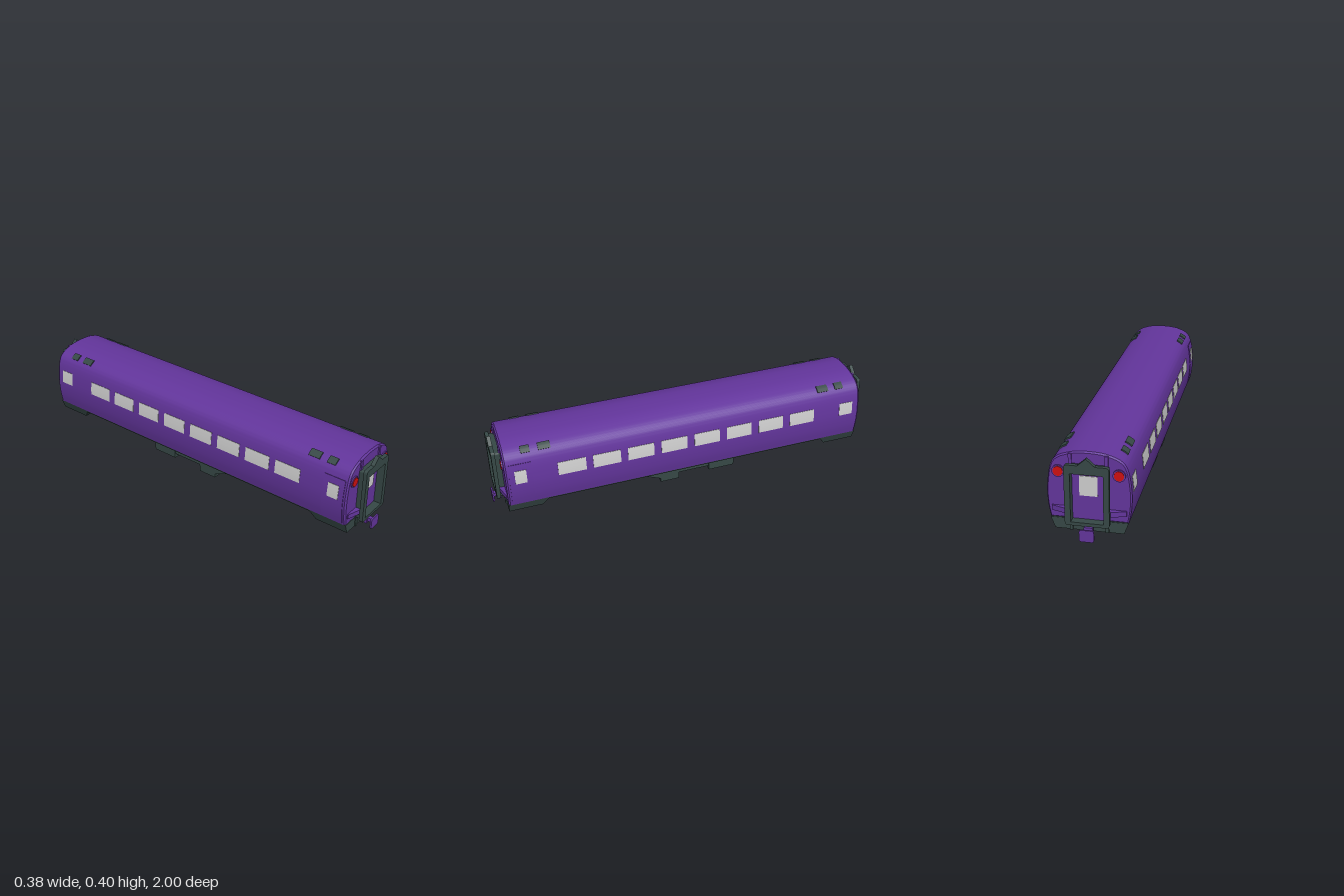
import * as THREE from 'three';
import { toCreasedNormals } from 'three/addons/utils/BufferGeometryUtils.js';

const material = (name, color) => {
  const m = new THREE.MeshStandardMaterial({ color });
  m.name = name;
  return m;
};

// Half of the body cross-section, from the floor up to the roof centre
const profile = new THREE.SplineCurve([
  [0.173, 0.08], [0.183, 0.135], [0.187, 0.195], [0.184, 0.25], [0.176, 0.305], [0.163, 0.345],
  [0.142, 0.369], [0.11, 0.385], [0.06, 0.398], [0, 0.402],
].map(([x, y]) => new THREE.Vector2(x, y))).getPoints(45);

// Half-width of the body at a given height
function sideX(y) {
  for (let i = 1; i < profile.length; i++) {
    const a = profile[i - 1], b = profile[i];
    if (y <= b.y) return a.x + (b.x - a.x) * (y - a.y) / (b.y - a.y);
  }
  return 0;
}

function roundRect(path, x0, y0, x1, y1, r) {
  path.moveTo(x0 + r, y0);
  path.lineTo(x1 - r, y0);
  path.quadraticCurveTo(x1, y0, x1, y0 + r);
  path.lineTo(x1, y1 - r);
  path.quadraticCurveTo(x1, y1, x1 - r, y1);
  path.lineTo(x0 + r, y1);
  path.quadraticCurveTo(x0, y1, x0, y1 - r);
  path.lineTo(x0, y0 + r);
  path.quadraticCurveTo(x0, y0, x0 + r, y0);
  return path;
}

const extrude = (shape, z0, z1) => new THREE.ExtrudeGeometry(shape,
  { depth: z1 - z0, bevelEnabled: false, curveSegments: 6 }).translate(0, 0, z0);

// Box whose top and bottom have their own width and z range
function taperedBox(top, bottom) {
  const geo = new THREE.BoxGeometry(1, 1, 1);
  const p = geo.attributes.position;
  for (let i = 0; i < p.count; i++) {
    const e = p.getY(i) > 0 ? top : bottom;
    p.setXYZ(i, Math.sign(p.getX(i)) * e.half, e.y, p.getZ(i) > 0 ? e.z1 : e.z0);
  }
  geo.computeVertexNormals();
  return geo;
}

// Thin plate that follows the curved side of the body
function sidePlate(y0, y1, z0, z1, out) {
  const inner = [], outer = [], steps = 8;
  for (let i = 0; i <= steps; i++) {
    const y = y0 + (y1 - y0) * i / steps;
    const d = 0.002;
    const slope = (sideX(y + d) - sideX(y - d)) / (2 * d);
    const n = new THREE.Vector2(1, -slope).normalize();
    const x = sideX(y);
    inner.unshift(new THREE.Vector2(x - n.x * 0.002, y - n.y * 0.002));
    outer.push(new THREE.Vector2(x + n.x * out, y + n.y * out));
  }
  return toCreasedNormals(extrude(new THREE.Shape([...outer, ...inner]), z0, z1), 0.5);
}

export function createModel() {
  const model = new THREE.Group();
  model.name = 'railwayCoach';
  const purple = material('purplePaint', 0x63359c);
  const grey = material('darkGreyGreen', 0x364846);
  const glass = material('paleGlass', 0xcfcfcf);
  const red = material('redLamp', 0xd01010);

  const add = (parent, name, geo, mat) => {
    const mesh = new THREE.Mesh(geo, mat);
    mesh.name = name;
    parent.add(mesh);
    return mesh;
  };
  const box = (parent, name, mat, x0, x1, y0, y1, z0, z1) => add(parent, name,
    new THREE.BoxGeometry(x1 - x0, y1 - y0, z1 - z0)
      .translate((x0 + x1) / 2, (y0 + y1) / 2, (z0 + z1) / 2), mat);

  // Body shell with softened end edges
  const left = profile.slice(0, -1).reverse().map(p => new THREE.Vector2(-p.x, p.y));
  const shell = new THREE.ExtrudeGeometry(new THREE.Shape([...profile, ...left]), {
    depth: 1.864, bevelThickness: 0.008, bevelSize: 0.006, bevelOffset: -0.006, bevelSegments: 1,
  }).translate(0, 0, -0.932);
  add(model, 'body', toCreasedNormals(shell, 0.4), purple);

  // Underframe
  add(model, 'floor', taperedBox(
    { half: 0.173, y: 0.082, z0: -0.938, z1: 0.938 },
    { half: 0.168, y: 0.07, z0: -0.938, z1: 0.938 }), grey);
  add(model, 'slopedTank', taperedBox(
    { half: 0.148, y: 0.071, z0: 0.055, z1: 0.27 },
    { half: 0.148, y: 0.022, z0: 0.055, z1: 0.155 }), grey);
  box(model, 'deepTank', grey, -0.148, 0.148, 0, 0.03, 0.055, 0.155);
  box(model, 'middleTray', grey, -0.148, 0.148, 0.038, 0.071, -0.11, 0.056);
  box(model, 'equipmentBox', grey, -0.153, 0.153, 0.016, 0.071, -0.245, -0.108);

  // Windows, doors and roof vents on both sides
  const windows = [[0.545, 0.685], [0.37, 0.51], [0.198, 0.333], [0.024, 0.16], [-0.15, -0.015],
    [-0.325, -0.19], [-0.5, -0.365], [-0.677, -0.54], [-0.9, -0.825]];
  const vents = [[0.805, 0.85], [0.705, 0.765], [-0.765, -0.705], [-0.85, -0.805]];
  for (const s of [1, -1]) {
    const side = new THREE.Group();
    side.name = s > 0 ? 'leftSide' : 'rightSide';
    side.rotation.y = s > 0 ? 0 : Math.PI;
    model.add(side);
    const plate = (name, mat, y0, y1, z0, z1, out) => add(side, name,
      sidePlate(y0, y1, Math.min(s * z0, s * z1), Math.max(s * z0, s * z1), out), mat);
    for (const [z0, z1] of windows) plate('sideWindow', glass, 0.216, 0.286, z0, z1, 0.002);
    plate('sideDoor', purple, 0.09, 0.32, 0.81, 0.922, 0.003);
    plate('doorWindow', glass, 0.216, 0.286, 0.838, 0.895, 0.005);
    for (const [z0, z1] of vents) plate('roofVent', grey, 0.362, 0.381, z0, z1, 0.006);
  }

  // Identical ends, the rear one turned round
  for (const s of [1, -1]) {
    const end = new THREE.Group();
    end.name = s > 0 ? 'frontEnd' : 'rearEnd';
    end.rotation.y = s > 0 ? 0 : Math.PI;
    model.add(end);

    // Skirt below the body
    add(end, 'endSkirt', taperedBox(
      { half: 0.173, y: 0.08, z0: 0.735, z1: 0.94 },
      { half: 0.153, y: 0.028, z0: 0.77, z1: 0.94 }), grey);

    // Gangway: bellows, then a flange with a pointed top
    const bellows = roundRect(new THREE.Shape(), -0.091, 0.08, 0.091, 0.345, 0.012);
    const flange = new THREE.Shape();
    flange.moveTo(-0.083, 0.071);
    flange.lineTo(0.083, 0.071);
    flange.quadraticCurveTo(0.098, 0.071, 0.098, 0.086);
    flange.lineTo(0.098, 0.34);
    flange.quadraticCurveTo(0.098, 0.355, 0.083, 0.355);
    flange.lineTo(0.038, 0.355);
    flange.lineTo(0, 0.389);
    flange.lineTo(-0.038, 0.355);
    flange.lineTo(-0.083, 0.355);
    flange.quadraticCurveTo(-0.098, 0.355, -0.098, 0.34);
    flange.lineTo(-0.098, 0.086);
    flange.quadraticCurveTo(-0.098, 0.071, -0.083, 0.071);
    for (const shape of [bellows, flange]) {
      shape.holes.push(roundRect(new THREE.Path(), -0.072, 0.087, 0.072, 0.315, 0.001));
    }
    add(end, 'gangwayBellows', extrude(bellows, 0.935, 0.967), grey);
    add(end, 'gangwayFlange', extrude(flange, 0.965, 0.984), grey);
    box(end, 'endDoor', purple, -0.073, 0.073, 0.086, 0.316, 0.935, 0.946);
    box(end, 'endDoorWindow', glass, -0.04, 0.04, 0.2, 0.293, 0.945, 0.949);

    // Coupler
    box(end, 'couplerStem', purple, -0.011, 0.011, 0.025, 0.044, 0.935, 0.995);
    box(end, 'couplerCollar', purple, -0.02, 0.02, 0.016, 0.055, 0.955, 0.966);
    add(end, 'couplerPlate',
      extrude(roundRect(new THREE.Shape(), -0.033, 0.004, 0.033, 0.06, 0.012), 0.992, 1), purple);

    for (const m of [1, -1]) {
      // Tail lamps
      const lamp = (name, r, z0, z1, mat) => add(end, name,
        new THREE.CylinderGeometry(r, r, z1 - z0, 32).rotateX(Math.PI / 2)
          .translate(m * 0.133, 0.305, (z0 + z1) / 2), mat);
      lamp('lampRim', 0.028, 0.935, 0.946, purple);
      lamp('lampLens', 0.022, 0.935, 0.949, red);

      // Vertical conduits above and below the gangway
      const a = Math.min(m * 0.072, m * 0.087), b = Math.max(m * 0.072, m * 0.087);
      box(end, 'upperConduit', purple, a, b, 0.34, 0.39, 0.932, 0.946);
      box(end, 'lowerConduit', grey, a, b, 0.028, 0.08, 0.932, 0.946);

      // Wedge-shaped step beside the gangway
      const wedge = new THREE.Shape([[0.088, -0.935], [0.165, -0.935], [0.165, -0.945], [0.1, -0.965], [0.088, -0.965]]
        .map(([x, y]) => new THREE.Vector2(m * x, y)));
      add(end, 'endStep', extrude(wedge, 0, 0.024).rotateX(-Math.PI / 2).translate(0, 0.116, 0), purple);
    }
  }
  return model;
}
